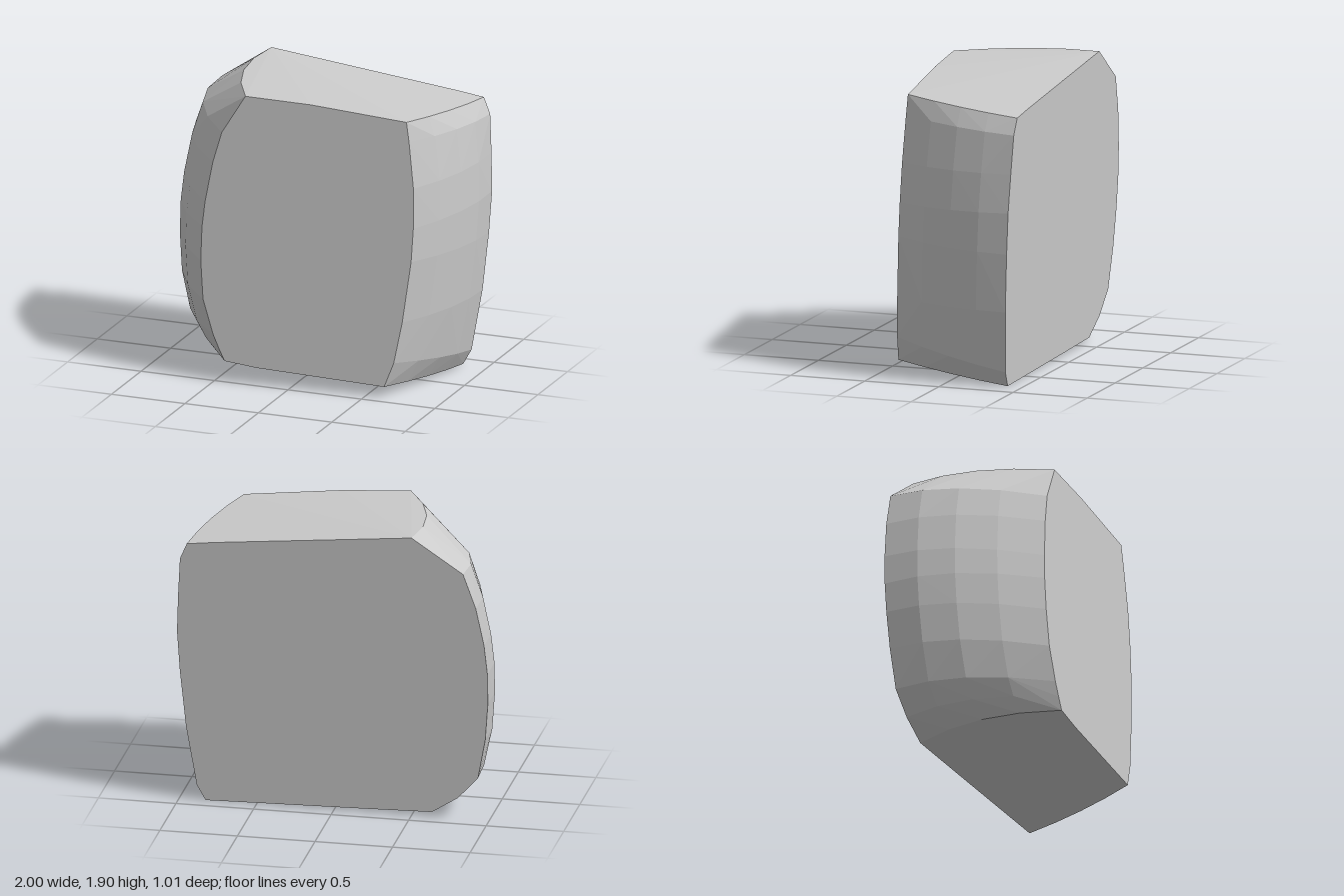
import * as THREE from 'three';
import { ConvexGeometry } from 'three/addons/geometries/ConvexGeometry.js';

// Paired outline points: back x, back y, front x, front y, sideways bulge between them
const ribs = [
  // top edge and right shoulder
  [-0.52, 1.905, -0.33, 1.88, -0.10],
  [0.75, 1.777, 0.10, 1.865, 0],
  [0.93, 1.755, 0.73, 1.81, 0.03],
  // bowed +x side
  [0.975, 1.65, 0.75, 1.68, 0.05],
  [0.99, 1.40, 0.785, 1.38, 0.06],
  [1.00, 1.15, 0.79, 1.12, 0.06],
  [0.985, 0.88, 0.78, 0.90, 0.06],
  [0.95, 0.50, 0.73, 0.50, 0.06],
  [0.885, 0.10, 0.68, 0.23, 0.05],
  // bottom edge
  [0.83, 0.00, 0.62, 0.07, 0.03],
  [-0.20, 0.02, -0.22, 0.115, 0],
  [-0.63, 0.03, -0.43, 0.14, -0.12],
  // strongly bowed -x side
  [-0.80, 0.14, -0.47, 0.22, -0.13],
  [-0.93, 0.285, -0.51, 0.31, -0.13],
  [-0.98, 0.55, -0.58, 0.53, -0.13],
  [-1.00, 0.80, -0.60, 0.78, -0.13],
  [-1.00, 1.00, -0.597, 1.00, -0.13],
  [-0.98, 1.20, -0.58, 1.17, -0.13],
  [-0.93, 1.45, -0.535, 1.43, -0.13],
  [-0.85, 1.68, -0.48, 1.63, -0.13],
];

// The two flat, slightly tilted end planes
const backZ = (x, y) => -0.40 - 0.058 * y;
const frontZ = (x, y) => 0.474 - 0.088 * x - 0.055 * y;

export function createModel() {
  const group = new THREE.Group();
  group.name = 'stone';

  // Rings from back to front, wrapped in a faceted hull
  const points = [];
  for (const [bx, by, fx, fy, bulge] of ribs) {
    const back = new THREE.Vector3(bx, by, backZ(bx, by));
    const front = new THREE.Vector3(fx, fy, frontZ(fx, fy));
    for (const t of [0, 0.25, 0.5, 0.75, 1]) {
      const p = back.clone().lerp(front, t);
      p.x += bulge * 4 * t * (1 - t);
      points.push(p);
    }
  }

  const block = new THREE.Mesh(
    new ConvexGeometry(points),
    new THREE.MeshStandardMaterial({ color: 0xcccccc, flatShading: true })
  );
  block.name = 'stoneBlock';
  group.add(block);
  return group;
}
